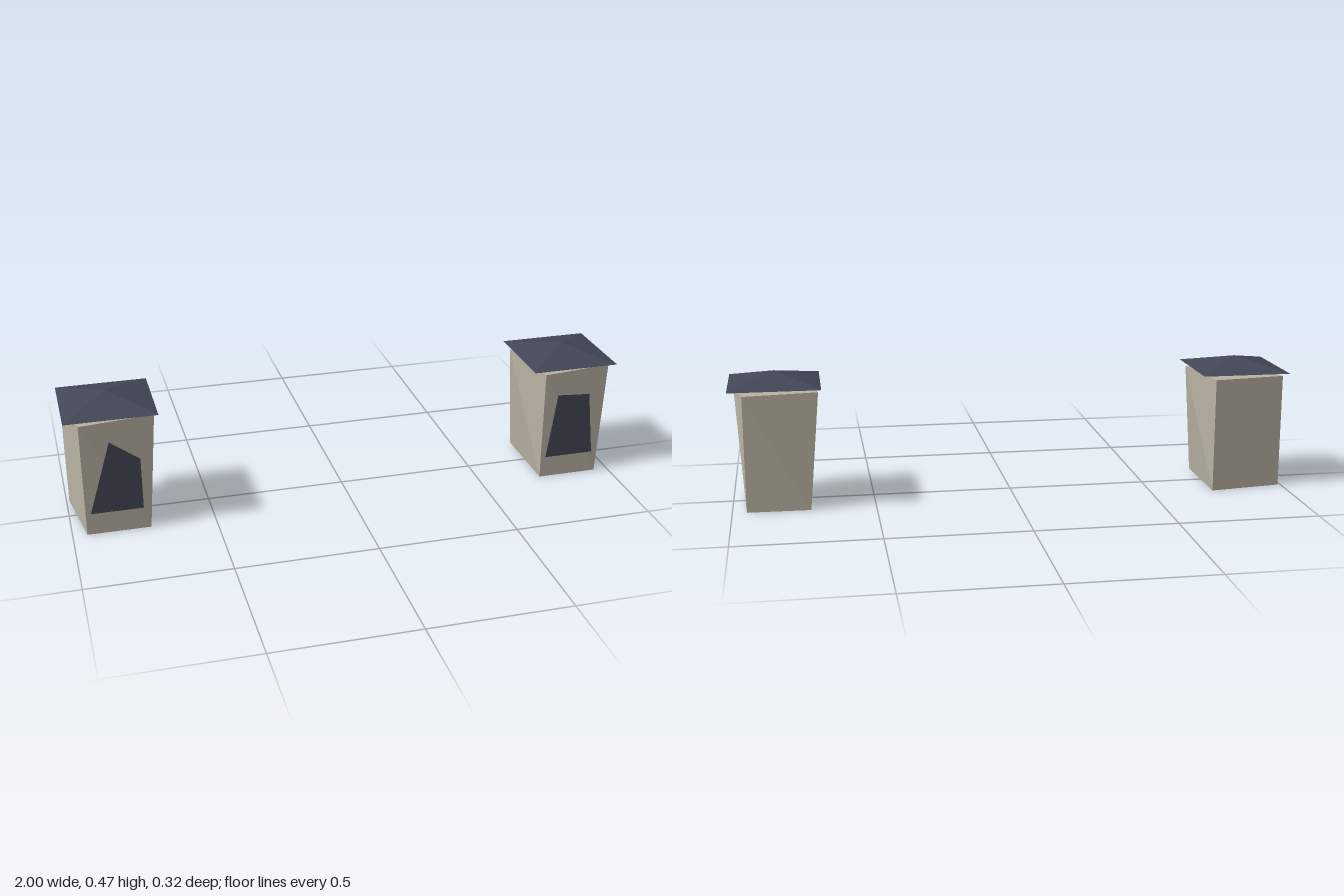
import * as THREE from 'three';

const stone = new THREE.MeshStandardMaterial({ color: 0xbab3a4 });
stone.name = 'stone';
const slate = new THREE.MeshStandardMaterial({ color: 0x434756 });
slate.name = 'slate';

const HEIGHT = 0.413;

// Warped block: bottom and top corners as [x, z], in the order
// front left, front right, back right, back left as seen from the front
function blockGeometry(bottom, top) {
  const b = bottom.map(([x, z]) => [x, 0, z]);
  const t = top.map(([x, z]) => [x, HEIGHT, z]);
  const pos = [];
  const tri = (...pts) => pts.forEach((p) => pos.push(...p));
  for (let i = 0; i < 4; i++) {
    const j = (i + 1) % 4;
    tri(t[i], b[i], b[j]);
    tri(t[i], b[j], t[j]);
  }
  tri(t[0], t[1], t[2]);
  tri(t[0], t[2], t[3]);
  tri(b[0], b[2], b[1]);
  tri(b[0], b[3], b[2]);
  const geo = new THREE.BufferGeometry();
  geo.setAttribute('position', new THREE.Float32BufferAttribute(pos, 3));
  geo.computeVertexNormals();
  return geo;
}

// Low square pyramid with a closed underside
function roofGeometry() {
  const geo = new THREE.ConeGeometry(0.16 * Math.SQRT2, 0.042, 4).toNonIndexed();
  geo.rotateY(Math.PI / 4);
  geo.computeVertexNormals();
  return geo;
}

function makeTower(name, x, bottom, top, opening) {
  const tower = new THREE.Group();
  tower.name = name;
  tower.position.x = x;

  const body = new THREE.Mesh(blockGeometry(bottom, top), stone);
  body.name = 'towerBody';

  const roof = new THREE.Mesh(roofGeometry(), slate);
  roof.name = 'roof';
  roof.position.y = 0.451;

  // Crooked opening, a flat panel just in front of the wall
  const shape = new THREE.Shape(opening.map(([px, py]) => new THREE.Vector2(px, py)));
  const panel = new THREE.Mesh(new THREE.ShapeGeometry(shape), slate);
  panel.name = 'opening';
  panel.position.z = 0.152;

  tower.add(body, roof, panel);
  return tower;
}

export function createModel() {
  const model = new THREE.Group();
  model.name = 'twinTowers';

  // Tower on the -x side: back corner pushed out over its full height
  model.add(makeTower('rightTower', -0.84,
    [[-0.11, 0.15], [0.112, 0.15], [0.112, -0.15], [-0.15, -0.115]],
    [[-0.11, 0.15], [0.15, 0.115], [0.112, -0.15], [-0.15, -0.115]],
    [[-0.092, 0.08], [0.09, 0.08], [0.09, 0.27], [-0.012, 0.345]]));

  // Tower on the +x side: two opposite top corners flare out
  model.add(makeTower('leftTower', 0.84,
    [[-0.112, 0.15], [0.108, 0.15], [0.11, -0.146], [-0.112, -0.15]],
    [[-0.112, 0.15], [0.148, 0.115], [0.11, -0.146], [-0.15, -0.115]],
    [[-0.094, 0.08], [0.09, 0.08], [0.063, 0.32], [-0.06, 0.328]]));

  return model;
}
